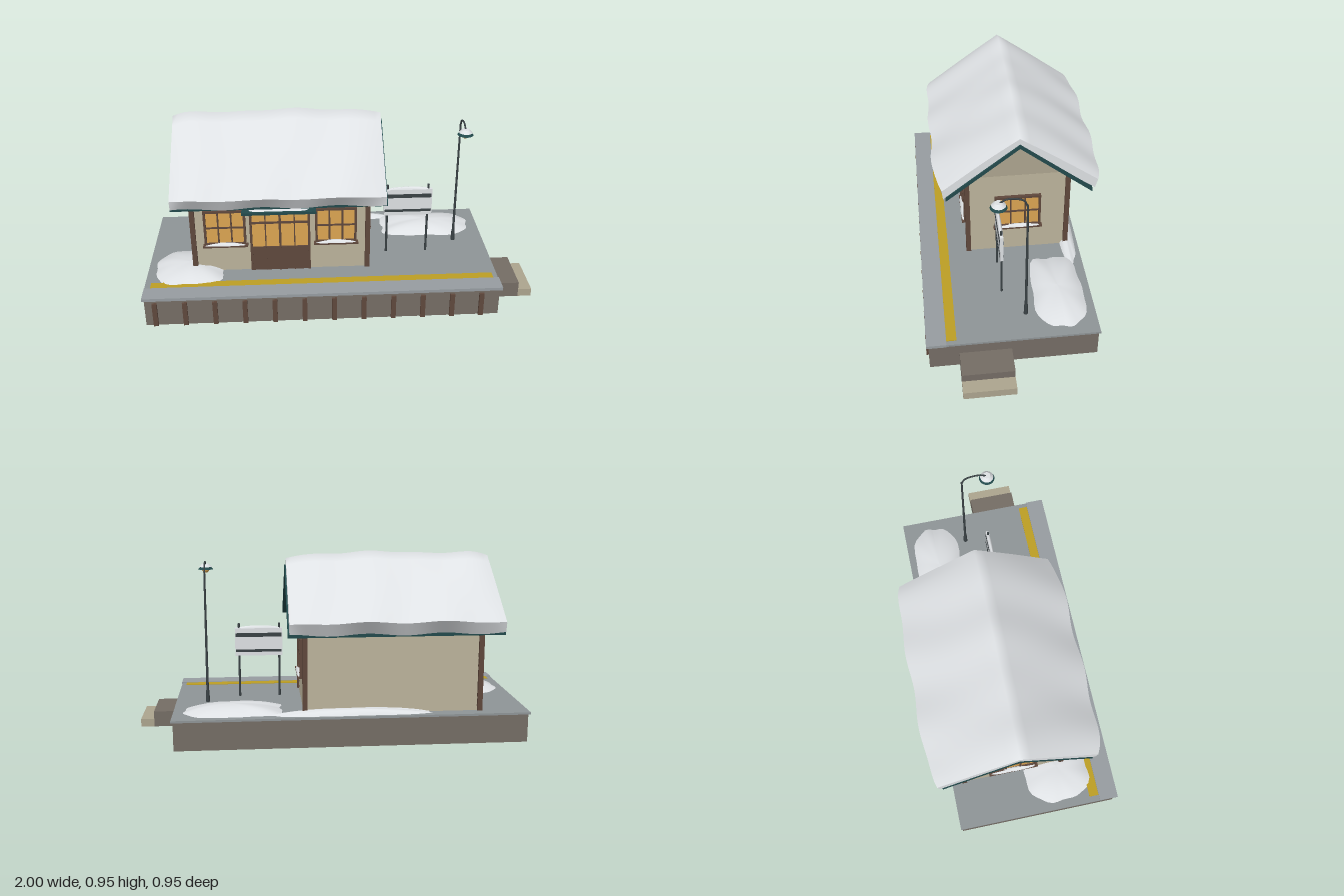
import * as THREE from 'three';

const mat = (name, color) => Object.assign(new THREE.MeshStandardMaterial({ color }), { name });
const M = {
  slab: mat('platform grey', 0x8f9597),
  edge: mat('edge grey', 0x979da1),
  base: mat('foundation brown grey', 0x756d65),
  wall: mat('siding beige', 0xada58f),
  wood: mat('dark wood', 0x5f483c),
  teal: mat('roof teal', 0x234a4c),
  snow: mat('snow white', 0xdee1e4),
  glass: mat('lit amber', 0xdba552),
  yellow: mat('safety yellow', 0xbd9f24),
  metal: mat('dark metal', 0x3a4245),
};
M.snow.side = THREE.DoubleSide;

const BASE_Y = 0.157, HOUSE_X = -0.307, HOUSE_Z = -0.045;

function add(parent, name, geo, material, x = 0, y = 0, z = 0) {
  const m = new THREE.Mesh(geo, material);
  m.name = name;
  m.position.set(x, y, z);
  parent.add(m);
  return m;
}

// Box given by its minimum and maximum on each axis
function box(parent, name, material, x0, x1, y0, y1, z0, z1) {
  return add(parent, name, new THREE.BoxGeometry(x1 - x0, y1 - y0, z1 - z0), material,
    (x0 + x1) / 2, (y0 + y1) / 2, (z0 + z1) / 2);
}

// Smooth surface through rows of [x, y, z] points
function surface(rows) {
  const n = rows[0].length, index = [];
  for (let i = 0; i < rows.length - 1; i++)
    for (let j = 0; j < n - 1; j++) {
      const a = i * n + j, b = a + n;
      index.push(a, a + 1, b, b, a + 1, b + 1);
    }
  const g = new THREE.BufferGeometry();
  g.setAttribute('position', new THREE.Float32BufferAttribute(rows.flat(2), 3));
  g.setIndex(index);
  g.computeVertexNormals();
  return g;
}

// Soft snow mound with a wavy, slightly squared outline
function mound(parent, name, x, y, z, rx, rz, h, power = 3, seed = 0) {
  const rows = [];
  for (let i = 0; i <= 7; i++) {
    const r = i / 7, row = [];
    for (let j = 0; j <= 40; j++) {
      const a = (j / 40) * Math.PI * 2, c = Math.cos(a), s = Math.sin(a);
      const k = (Math.abs(c) ** power + Math.abs(s) ** power) ** (-1 / power);
      const w = k * r * (1 + 0.03 * Math.sin(5 * a + seed) + 0.025 * Math.sin(9 * a + 2 * seed));
      const lump = 1 + 0.1 * r * Math.sin(3 * a + seed);
      row.push([c * w * rx, h * (1 - r ** 2.4) * lump, s * w * rz]);
    }
    rows.push(row);
  }
  add(parent, name, surface(rows), M.snow, x, y, z);
}

// Extrude a (-z, y) outline along x, centred
function extrudeX(points, length) {
  const shape = new THREE.Shape(points.map(p => new THREE.Vector2(...p)));
  return new THREE.ExtrudeGeometry(shape, { depth: length, bevelEnabled: false })
    .translate(0, 0, -length / 2).rotateY(Math.PI / 2);
}

// Overlapping boards facing +z
function siding(length) {
  const pts = [[0.005, BASE_Y]], n = 16, step = (0.633 - BASE_Y) / n;
  for (let i = 0; i < n; i++)
    pts.push([-0.009, BASE_Y + i * step], [-0.001, BASE_Y + (i + 1) * step]);
  pts.push([0.005, 0.633]);
  return extrudeX(pts.reverse(), length);
}

// Glazed opening facing +z, with frame, bars, sill and sill snow
function makeWindow(w, h) {
  const g = new THREE.Group();
  g.name = 'window';
  box(g, 'windowGlass', M.glass, -w / 2, w / 2, 0, h, 0, 0.008);
  for (const s of [-1, 1]) box(g, 'windowFrameSide', M.wood, s * w / 2 - 0.006, s * w / 2 + 0.006, 0, h, 0, 0.018);
  for (const y of [0, h]) box(g, 'windowFrameRail', M.wood, -w / 2 - 0.006, w / 2 + 0.006, y - 0.006, y + 0.006, 0, 0.018);
  for (const s of [-1, 1]) box(g, 'windowBar', M.wood, s * w / 6 - 0.004, s * w / 6 + 0.004, 0, h, 0, 0.014);
  box(g, 'windowCrossBar', M.wood, -w / 2, w / 2, h / 2 - 0.004, h / 2 + 0.004, 0, 0.014);
  box(g, 'windowSill', M.wood, -w / 2 - 0.014, w / 2 + 0.014, -0.014, -0.005, 0, 0.03);
  mound(g, 'sillSnow', 0, -0.005, 0.016, w / 2, 0.014, 0.013, 4, 1);
  return g;
}

function makePlatform(root) {
  const g = new THREE.Group();
  g.name = 'platform';
  box(g, 'foundation', M.base, -0.99, 0.79, 0, 0.146, -0.365, 0.462);
  box(g, 'platformSlab', M.slab, -1, 0.8, 0.146, BASE_Y, -0.373, 0.38);
  box(g, 'platformEdge', M.edge, -1, 0.803, 0.146, 0.162, 0.376, 0.473);
  box(g, 'safetyLine', M.yellow, -0.97, 0.775, BASE_Y, 0.16, 0.326, 0.375);
  for (let i = 0; i < 12; i++) {
    const x = -0.94 + i * 0.149;
    box(g, 'platformTimber', M.wood, x - 0.012, x + 0.012, 0, 0.13, 0.46, 0.475);
  }
  box(g, 'upperStep', M.base, 0.79, 0.93, 0, 0.083, 0.06, 0.315);
  box(g, 'lowerStep', M.wall, 0.93, 1, 0, 0.042, 0.06, 0.315);
  mound(g, 'snowDriftRight', 0.495, BASE_Y - 0.002, -0.207, 0.25, 0.13, 0.04, 4, 2);
  mound(g, 'snowDriftLeft', -0.78, BASE_Y - 0.002, 0.185, 0.18, 0.172, 0.04, 3.5, 4);
  mound(g, 'snowDriftBack', -0.1, BASE_Y - 0.002, -0.315, 0.42, 0.045, 0.03, 3, 1);
  root.add(g);
}

function makeHouse(root) {
  const g = new THREE.Group();
  g.name = 'house';
  // Core with gables, then boards on four sides
  add(g, 'wallsAndGables', extrudeX([[-0.252, BASE_Y], [0.252, BASE_Y], [0.252, 0.633], [0, 0.868], [-0.252, 0.633]], 0.88),
    M.wall, HOUSE_X, 0, HOUSE_Z);
  for (let i = 0; i < 4; i++) {
    const side = i % 2, a = i * Math.PI / 2, d = side ? 0.44 : 0.253;
    add(g, 'siding', siding(side ? 0.505 : 0.88), M.wall,
      HOUSE_X + Math.sin(a) * d, 0, HOUSE_Z + Math.cos(a) * d).rotation.y = a;
  }
  for (const sx of [-1, 1]) for (const sz of [-1, 1]) {
    const x = HOUSE_X + sx * 0.445, z = HOUSE_Z + sz * 0.261;
    box(g, 'cornerPost', M.wood, x - 0.0125, x + 0.0125, BASE_Y, 0.634, z - 0.0125, z + 0.0125);
  }
  // Windows
  const place = (w, h, x, y, z, ry) => {
    const win = makeWindow(w, h);
    win.position.set(x, y, z);
    win.rotation.y = ry;
    g.add(win);
  };
  place(0.2, 0.185, -0.59, 0.32, 0.214, 0);
  place(0.2, 0.185, -0.025, 0.32, 0.214, 0);
  place(0.228, 0.183, 0.138, 0.32, HOUSE_Z - 0.002, Math.PI / 2);
  place(0.228, 0.183, -0.752, 0.32, HOUSE_Z - 0.002, -Math.PI / 2);
  // Double door
  const L = -0.459, R = -0.163, T = 0.513;
  box(g, 'doorPanel', M.wood, L, R, BASE_Y, 0.287, 0.205, 0.226);
  box(g, 'doorGlass', M.glass, L, R, 0.287, T, 0.205, 0.221);
  for (let i = 0; i <= 4; i++) {
    const x = L + (R - L) * i / 4, w = i % 2 ? 0.003 : 0.006;
    box(g, 'doorUpright', M.wood, x - w, x + w, BASE_Y, T, 0.205, 0.229);
  }
  for (const y of [0.29, 0.435, 0.51]) box(g, 'doorRail', M.wood, L, R, y - 0.005, y + 0.005, 0.205, 0.228);
  // Door canopy
  box(g, 'canopy', M.teal, -0.495, -0.128, 0.54, 0.553, 0.205, 0.338);
  mound(g, 'canopySnow', -0.311, 0.552, 0.28, 0.16, 0.046, 0.029, 4, 3);
  root.add(g);
}

function makeRoof(root) {
  const g = new THREE.Group();
  g.name = 'roof';
  const chevron = t => [[-0.372, 0.587 - t], [0, 0.88 - t], [0.372, 0.587 - t]];
  add(g, 'roofPanels', extrudeX([...chevron(0.02), ...chevron(0).reverse()].reverse(), 1.065),
    M.teal, HOUSE_X, 0, HOUSE_Z);
  // Snow blanket: sections along x, rounded off at both ends
  const top = [], under = [], NX = 36, ND = 16;
  for (let i = 0; i <= NX; i++) {
    const s = i / NX, x = -0.837 + 1.055 * s;
    const e = Math.abs(2 * s - 1) ** 7;
    const wave = 0.006 * Math.sin(11 * x + 4.2) + 0.003 * Math.sin(23 * x);
    const ta = [], ua = [];
    for (let j = 0; j <= ND; j++) {
      const v = (j / ND) * 2 - 1, t = Math.abs(v), sag = 0.006 * Math.sin(17 * x + v * 2) * t;
      const y = THREE.MathUtils.lerp(0.94 - 0.026 * e + wave, 0.646 - 0.015 * e, t);
      ta.push([x, y + 0.007 * Math.sin(Math.PI * t) + sag, HOUSE_Z + v * (0.425 - 0.032 * e + sag)]);
      ua.push([x, 0.881 - 0.3 * t + sag * t ** 6, HOUSE_Z + v * 0.385]);
    }
    top.push(ta);
    under.push(ua);
  }
  add(g, 'roofSnowTop', surface(top), M.snow);
  add(g, 'roofSnowUnderside', surface([...under].reverse()), M.snow);
  for (const j of [0, ND]) add(g, 'roofSnowEave', surface(top.map((r, i) => [r[j], under[i][j]])), M.snow);
  for (const i of [0, NX]) add(g, 'roofSnowEnd', surface([top[i], under[i]]), M.snow);
  root.add(g);
}

function makeSign(root) {
  const g = new THREE.Group();
  g.name = 'signboard';
  for (const x of [0.253, 0.467])
    add(g, 'signPost', new THREE.CylinderGeometry(0.006, 0.006, 0.398, 10), M.metal, x, 0.356, 0.075);
  box(g, 'signPanel', M.snow, 0.236, 0.488, 0.38, 0.53, 0.067, 0.083);
  for (const z of [0.066, 0.084]) for (const [y0, y1] of [[0.482, 0.503], [0.4, 0.414]])
    box(g, 'signBand', M.metal, 0.24, 0.484, y0, y1, z - 0.001, z + 0.001);
  mound(g, 'signSnow', 0.362, 0.529, 0.075, 0.122, 0.01, 0.013, 4, 2);
  root.add(g);
}

function makeLamp(root) {
  const g = new THREE.Group();
  g.name = 'lamp';
  g.position.set(0.635, 0, 0);
  add(g, 'lampBase', new THREE.CylinderGeometry(0.009, 0.011, 0.06, 12), M.metal, 0, 0.187, -0.027);
  add(g, 'lampPole', new THREE.CylinderGeometry(0.005, 0.007, 0.69, 12), M.metal, 0, 0.5, -0.027);
  const path = new THREE.CatmullRomCurve3([[0.835, -0.027], [0.873, -0.008], [0.887, 0.065], [0.865, 0.105]]
    .map(([y, z]) => new THREE.Vector3(0, y, z)));
  add(g, 'lampArm', new THREE.TubeGeometry(path, 20, 0.0045, 8), M.metal);
  add(g, 'lampShade', new THREE.CylinderGeometry(0.016, 0.04, 0.026, 20), M.teal, 0, 0.856, 0.105);
  add(g, 'lampSnow', new THREE.CylinderGeometry(0.018, 0.034, 0.016, 20), M.snow, 0, 0.864, 0.105);
  add(g, 'lampBulb', new THREE.SphereGeometry(0.019, 16, 12), M.glass, 0, 0.843, 0.105);
  root.add(g);
}

export function createModel() {
  const root = new THREE.Group();
  root.name = 'snowyStation';
  for (const make of [makePlatform, makeHouse, makeRoof, makeSign, makeLamp]) make(root);
  return root;
}
